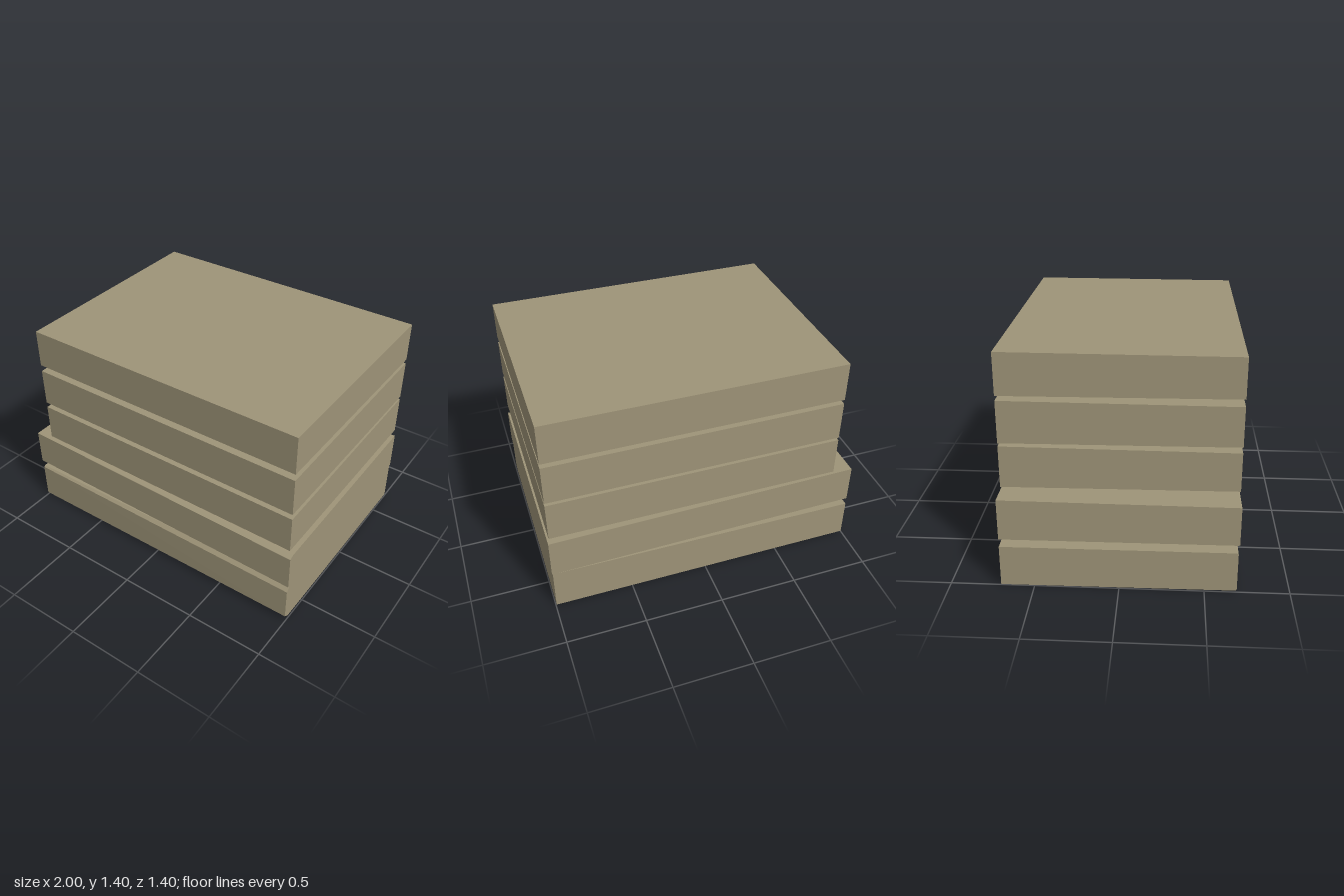
import * as THREE from 'three';

// Slab lofted between two end profiles of [z, y] points:
// back bottom, back top, then front points from top to bottom.
function slab(name, x0, x1, left, right, material) {
  const n = left.length, pos = [];
  const L = left.map(([z, y]) => [x0, y, z]);
  const R = right.map(([z, y]) => [x1, y, z]);
  const tri = (a, b, c) => pos.push(...a, ...b, ...c);
  for (let i = 0; i < n; i++) {
    const j = (i + 1) % n;
    tri(L[i], L[j], R[j]);
    tri(L[i], R[j], R[i]);
  }
  // end caps
  for (let i = 1; i < n - 1; i++) {
    tri(R[0], R[i], R[i + 1]);
    tri(L[0], L[i + 1], L[i]);
  }
  const geo = new THREE.BufferGeometry();
  geo.setAttribute('position', new THREE.Float32BufferAttribute(pos, 3));
  geo.computeVertexNormals();
  const mesh = new THREE.Mesh(geo, material);
  mesh.name = name;
  return mesh;
}

export function createModel() {
  const group = new THREE.Group();
  group.name = 'slabStack';
  const stone = new THREE.MeshStandardMaterial({ color: 0x9e9478 });
  stone.name = 'sandStone';

  // two wide lower slabs, touching along the right end, front edges worn there
  group.add(slab('bottomSlab', -1, 0.995,
    [[-0.7, 0.003], [-0.7, 0.258], [0.68, 0.262], [0.69, 0.252], [0.69, 0.016], [0.68, 0.01]],
    [[-0.7, 0], [-0.7, 0.278], [0.665, 0.276], [0.697, 0.245], [0.7, 0.035], [0.665, 0.01]], stone));
  group.add(slab('tiltedSlab', -1, 1,
    [[-0.7, 0.308], [-0.7, 0.563], [0.69, 0.556], [0.695, 0.553], [0.695, 0.316], [0.69, 0.313]],
    [[-0.7, 0.278], [-0.7, 0.534], [0.665, 0.534], [0.695, 0.52], [0.695, 0.29], [0.665, 0.276]], stone));

  // three narrower upper slabs: bottom and top heights at back and front
  const upper = [
    [0.58, 0.838, 0.83, 0.589],
    [0.858, 1.117, 1.11, 0.866],
    [1.146, 1.402, 1.397, 1.154],
  ];
  upper.forEach(([bb, bt, ft, fb], i) => {
    const p = [[-0.7, bb], [-0.7, bt], [0.695, ft], [0.695, fb]];
    group.add(slab('upperSlab' + (i + 1), -0.865, 0.993, p, p, stone));
  });
  return group;
}
